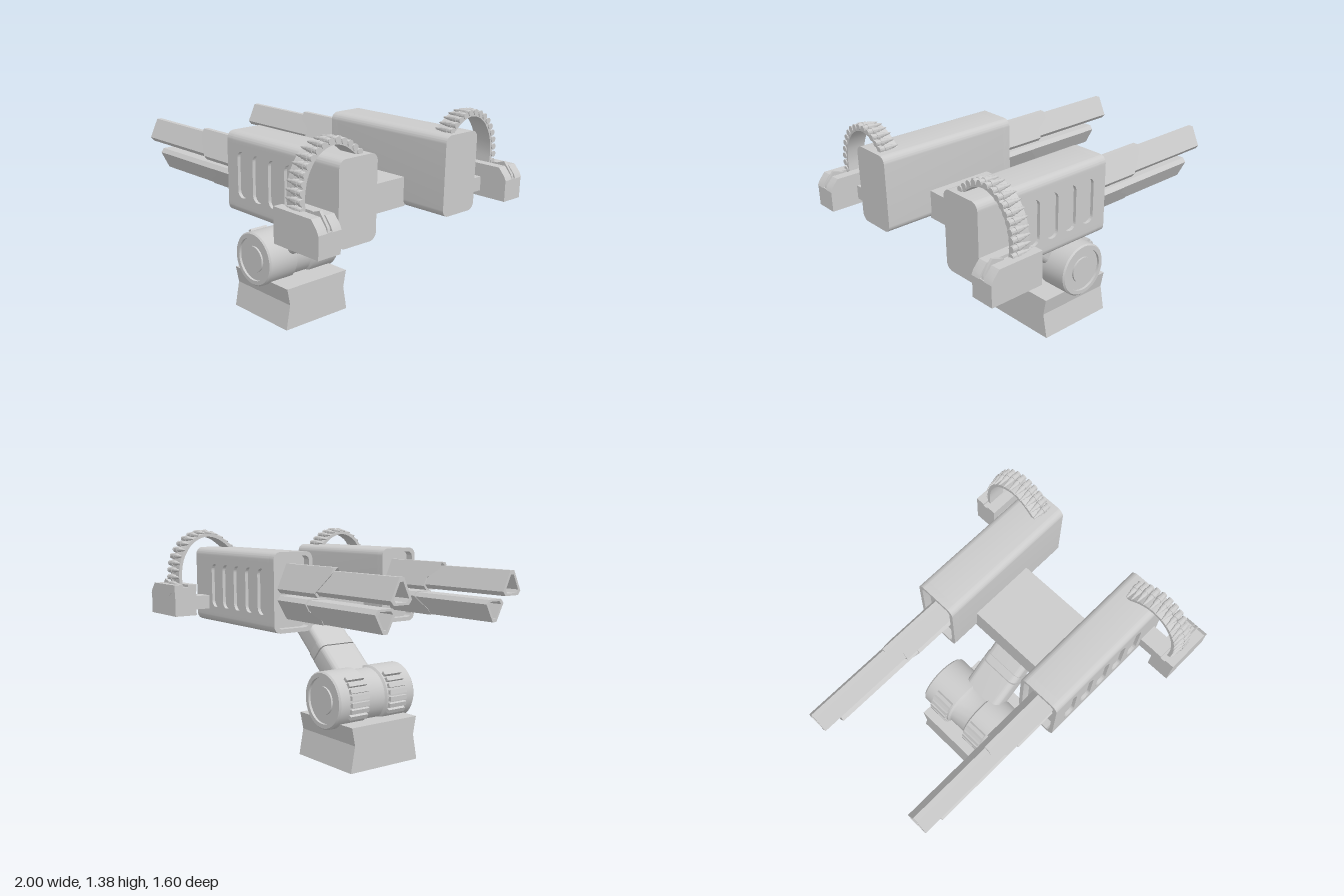
import * as THREE from 'three';
import { toCreasedNormals } from 'three/addons/utils/BufferGeometryUtils.js';

const grey = new THREE.MeshStandardMaterial({ color: 0xcccccc });
const greyOpen = new THREE.MeshStandardMaterial({ color: 0xcccccc, side: THREE.DoubleSide, flatShading: true });

function part(parent, name, geometry, x = 0, y = 0, z = 0, material = grey) {
  const mesh = new THREE.Mesh(geometry, material);
  mesh.name = name;
  mesh.position.set(x, y, z);
  parent.add(mesh);
  return mesh;
}

const crease = (g) => toCreasedNormals(g, 0.6);
const polygon = (pts) => new THREE.Shape(pts.map(([x, y]) => new THREE.Vector2(x, y)));
const extrude = (shape, depth) =>
  new THREE.ExtrudeGeometry(shape, { depth, bevelEnabled: false, curveSegments: 6 });
// Sweep a section along +x; the section's horizontal axis becomes -z
const extrudeX = (shape, length) => crease(extrude(shape, length).rotateY(Math.PI / 2));

// Centred rounded rectangle, optionally with a shallow notch in its left side
function roundedRect(w, h, r, notch = 0, notchHalf = 0) {
  const a = w / 2, b = h / 2, q = Math.PI / 2, s = new THREE.Shape();
  s.moveTo(-a + r, -b);
  s.absarc(a - r, -b + r, r, -q, 0);
  s.absarc(a - r, b - r, r, 0, q);
  s.absarc(-a + r, b - r, r, q, 2 * q);
  if (notch) {
    s.lineTo(-a, notchHalf);
    s.lineTo(-a + notch, notchHalf);
    s.lineTo(-a + notch, -notchHalf);
    s.lineTo(-a, -notchHalf);
  }
  s.absarc(-a + r, -b + r, r, 2 * q, 3 * q);
  return s;
}

// Triangle with blunted corners, base on y = 0, with extra points on its sides
function trianglePoints(half, h) {
  const low = [half, 0.025], top = [0.015, h];
  const at = (t) => [low[0] + (top[0] - low[0]) * t, low[1] + (top[1] - low[1]) * t];
  const right = [[half - 0.02, 0], low, at(0.35), at(0.72), top];
  return [...right, ...right.map(([x, y]) => [-x, y]).reverse()];
}

function barrelGeometry(half, h, length) {
  const shape = polygon(trianglePoints(half, h));
  shape.holes.push(polygon(trianglePoints(half, h).map(([x, y]) => [x * 0.72, (y - h * 0.36) * 0.74 + h * 0.36])));
  return extrudeX(shape, length);
}

// Sleeve whose front edge reaches further forward near the apex
function sleeveGeometry(half, h, length) {
  const g = extrude(polygon(trianglePoints(half, h)), length);
  const p = g.attributes.position;
  for (let i = 0; i < p.count; i++)
    if (p.getZ(i) < 0.001 && p.getY(i) > h * 0.6) p.setZ(i, -0.085);
  return crease(g.rotateY(Math.PI / 2));
}

function buildBase(root) {
  // Waisted pedestal, open underneath
  const g = new THREE.BoxGeometry(0.52, 0.27, 0.51, 1, 2, 1);
  const index = Array.from(g.index.array);
  index.splice(30, 6);
  g.setIndex(index);
  g.clearGroups();
  const p = g.attributes.position;
  for (let i = 0; i < p.count; i++) {
    const y = p.getY(i), half = Math.abs(y) < 0.01 ? 0.225 : y > 0 ? 0.247 : 0.255;
    p.setZ(i, Math.sign(p.getZ(i)) * half);
    if (Math.abs(y) < 0.01) p.setY(i, 0.025);
  }
  part(root, 'pedestal', g, -0.15, 0.135, 0, greyOpen);
}

function buildJoint(root) {
  const joint = new THREE.Group();
  joint.name = 'tiltJoint';
  joint.position.set(-0.175, 0.395, 0);
  root.add(joint);

  // Drum with ringed end caps and a groove round the middle
  const half = [[0.16, 0.05], [0.162, 0.06], [0.175, 0.07], [0.175, 0.278], [0.166, 0.288],
    [0.14, 0.288], [0.14, 0.272], [0.085, 0.272], [0.085, 0.284], [0, 0.284]];
  const profile = [...half.map(([r, y]) => [r, -y]).reverse(), ...half];
  const drum = new THREE.LatheGeometry(profile.map(([r, y]) => new THREE.Vector2(r, y)), 40);
  part(joint, 'drum', crease(drum.rotateX(Math.PI / 2)));

  // Grip ribs on the front of the drum
  const rib = new THREE.BoxGeometry(0.034, 0.026, 0.13);
  for (const side of [-1, 1])
    for (let i = 0; i < 7; i++) {
      const a = THREE.MathUtils.degToRad(132 + i * 12.5);
      part(joint, 'drumRib', rib, Math.cos(a) * 0.177, Math.sin(a) * 0.177, side * 0.145).rotation.z = a;
    }

  // Stepped arm rising to the bridge
  const arm = new THREE.Group();
  arm.name = 'arm';
  arm.rotation.z = THREE.MathUtils.degToRad(41);
  joint.add(arm);
  part(arm, 'lowerArm', extrudeX(roundedRect(0.27, 0.165, 0.04), 0.24), 0.1);
  part(arm, 'armGap', extrudeX(roundedRect(0.245, 0.14, 0.035), 0.03), 0.33);
  part(arm, 'armCollar', extrudeX(roundedRect(0.27, 0.16, 0.04), 0.05), 0.35);
  part(arm, 'upperArm', extrudeX(roundedRect(0.262, 0.15, 0.035), 0.33), 0.39);
}

function buildPod(gun) {
  const pod = new THREE.Group();
  pod.name = 'gunPod';
  pod.position.set(0, 1.035, 0.405);
  gun.add(pod);
  const section = () => roundedRect(0.27, 0.47, 0.045, 0.02, 0.17);
  part(pod, 'housing', extrudeX(section(), 0.87), -0.01);
  const rim = section();
  rim.holes.push(roundedRect(0.222, 0.42, 0.03));
  part(pod, 'frontRim', extrudeX(rim, 0.05), -0.06);

  // Outer panel with a row of slots
  const panel = polygon([[-0.06, -0.17], [0.86, -0.17], [0.86, 0.17], [-0.06, 0.17]]);
  for (let i = 0; i < 5; i++) {
    const x = 0.075 + i * 0.136;
    panel.holes.push(new THREE.Path(
      roundedRect(0.085, 0.27, 0.04).getPoints(6).map((v) => new THREE.Vector2(v.x + x, v.y))));
  }
  part(pod, 'slottedPanel', crease(extrude(panel, 0.02)), 0, 0, 0.115);

  // Upper barrel points its ridge up, the lower one down
  part(pod, 'upperBarrel', barrelGeometry(0.07, 0.14, 1), -1, 0.005);
  part(pod, 'upperSleeve', sleeveGeometry(0.08, 0.17, 0.4), -0.38, -0.005);
  part(pod, 'lowerBarrel', barrelGeometry(0.07, 0.13, 0.9), -0.88, -0.025).rotation.x = Math.PI;
  part(pod, 'lowerSleeve', sleeveGeometry(0.08, 0.14, 0.32), -0.29, -0.02).rotation.x = Math.PI;
}

function buildAmmoBox(gun) {
  part(gun, 'boxBracket', new THREE.BoxGeometry(0.12, 0.085, 0.14), 0.76, 0.925, 0.6);
  const body = polygon([[0.665, 0.85], [0.995, 0.85], [0.995, 0.978], [0.74, 0.978], [0.71, 1], [0.665, 1]]);
  part(gun, 'ammoBox', crease(extrude(body, 0.146)), 0, 0, 0.652);
  // Two lid halves with a groove and a thin latch between them
  const lid = polygon([[0.665, 1], [0.71, 1], [0.74, 0.975], [0.997, 0.975], [0.985, 1], [0.945, 1.046], [0.665, 1.046]]);
  for (const z of [0.65, 0.742]) part(gun, 'boxLid', crease(extrude(lid, 0.058)), 0, 0, z);
  const floor = polygon([[0.665, 0.99], [0.98, 0.97], [0.86, 1.03], [0.665, 1.03]]);
  part(gun, 'lidGroove', crease(extrude(floor, 0.05)), 0, 0, 0.7);
  const latch = polygon([[0.86, 1.02], [0.99, 0.975], [0.985, 1], [0.93, 1.07], [0.86, 1.046]]);
  part(gun, 'latch', crease(extrude(latch, 0.016)), 0, 0, 0.717);
}

function buildBelt(gun) {
  // Belt path from box to pod, in the plane of (-z, y)
  const path = new THREE.SplineCurve([[-0.735, 1.03], [-0.738, 1.12], [-0.715, 1.22], [-0.65, 1.31],
    [-0.55, 1.352], [-0.45, 1.33], [-0.35, 1.255]].map(([x, y]) => new THREE.Vector2(x, y)));
  const offset = (t, d) => {
    const p = path.getPointAt(t), n = path.getTangentAt(t);
    return [p.x - n.y * d, p.y + n.x * d];
  };
  const ts = Array.from({ length: 29 }, (_, i) => i / 28);
  const strip = polygon([...ts.map((t) => offset(t, 0.008)), ...ts.map((t) => offset(t, -0.012)).reverse()]);
  part(gun, 'beltStrip', extrudeX(strip, 0.115), 0.705);

  // Cartridges pointing forward, each held by a link
  const outline = [[0, 0], [0.018, 0], [0.018, 0.006], [0.015, 0.01], [0.017, 0.014], [0.016, 0.075],
    [0.011, 0.088], [0.01, 0.1], [0.006, 0.12], [0, 0.132]].map(([r, y]) => new THREE.Vector2(r, y));
  const round = crease(new THREE.LatheGeometry(outline, 12).rotateZ(Math.PI / 2));
  const link = crease(new THREE.CylinderGeometry(0.02, 0.02, 0.022, 12).rotateZ(Math.PI / 2));
  const count = 15;
  for (let i = 0; i < count; i++) {
    const [u, y] = offset((i + 0.4) / count, 0.012);
    part(gun, 'cartridge', round, 0.828, y, -u);
    part(gun, 'beltLink', link, 0.785, y, -u);
  }
}

export function createModel() {
  const root = new THREE.Group();
  root.name = 'twinGunTurret';
  buildBase(root);
  buildJoint(root);
  part(root, 'bridge', new THREE.BoxGeometry(0.43, 0.178, 0.56), 0.345, 0.891, 0);

  // Matching gun on each side
  for (const side of [1, -1]) {
    const gun = new THREE.Group();
    gun.name = side > 0 ? 'frontGun' : 'backGun';
    gun.scale.z = side;
    root.add(gun);
    buildPod(gun);
    buildAmmoBox(gun);
    buildBelt(gun);
  }
  return root;
}
